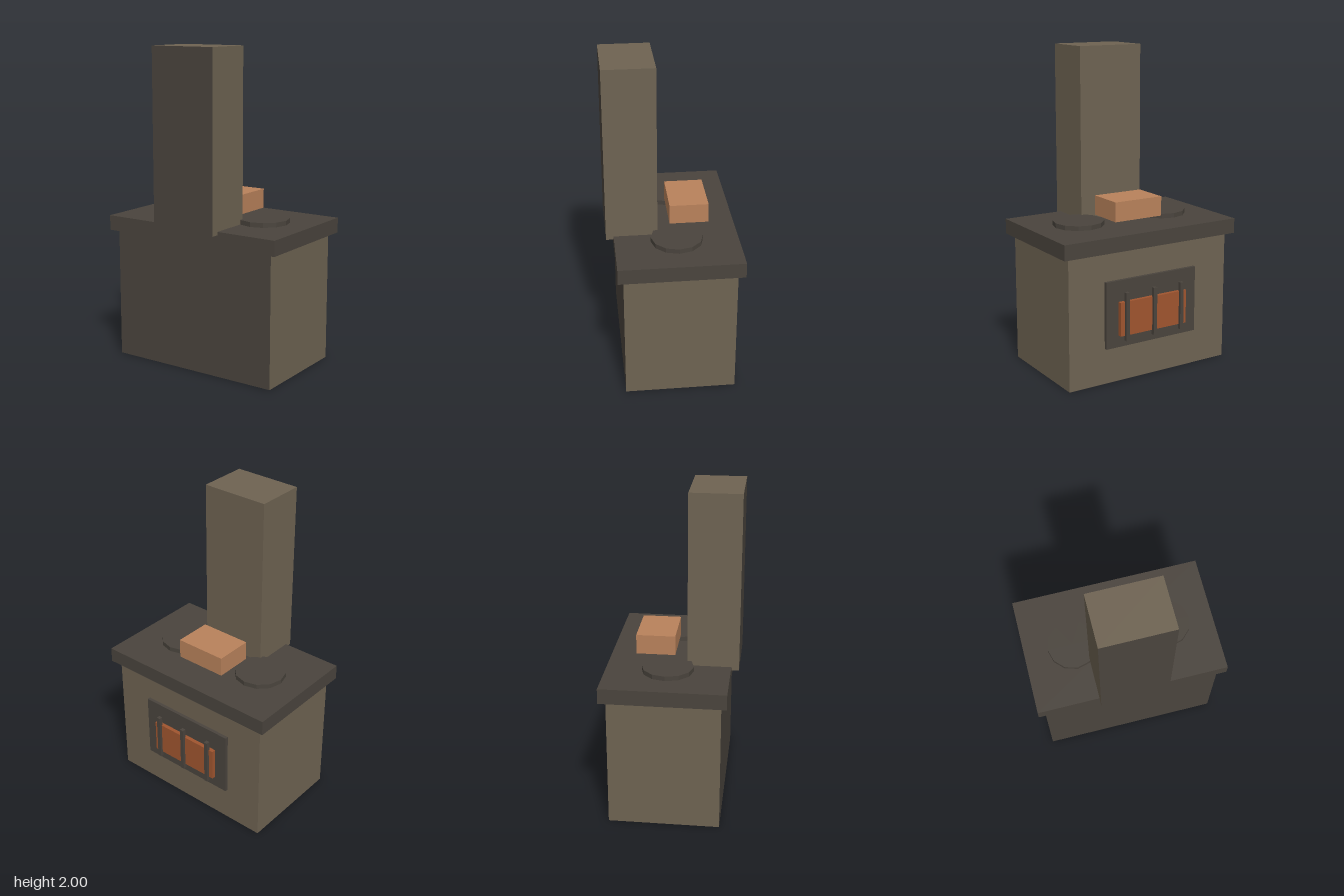
import * as THREE from 'three';

const mat = (name, color) => {
  const m = new THREE.MeshStandardMaterial({ color });
  m.name = name;
  return m;
};

export function createModel() {
  const group = new THREE.Group();
  const stone = mat('brown stone', 0x6e6352);
  const iron = mat('dark iron', 0x4a443d);
  const clay = mat('light clay', 0xb9825b);
  const ember = mat('ember', 0xa0552f);

  // Box given by its extents along each axis
  const box = (name, material, [x0, x1], [y0, y1], [z0, z1]) => {
    const mesh = new THREE.Mesh(new THREE.BoxGeometry(x1 - x0, y1 - y0, z1 - z0), material);
    mesh.position.set((x0 + x1) / 2, (y0 + y1) / 2, (z0 + z1) / 2);
    mesh.name = name;
    group.add(mesh);
  };

  // Stone masses with a dark front and underside (+x, -x, +y, -y, +z, -z)
  const sooty = [stone, stone, stone, iron, iron, stone];
  box('body', sooty, [-0.57, 0.57], [0, 0.826], [-0.352, 0.333]);
  box('chimney', sooty, [-0.219, 0.219], [0.9, 2], [0.098, 0.415]);

  // Cooking top
  box('topSlab', iron, [-0.615, 0.615], [0.826, 0.921], [-0.391, 0.368]);

  // Twelve-sided hot plates
  for (const side of [-1, 1]) {
    const plate = new THREE.Mesh(new THREE.CylinderGeometry(0.159, 0.159, 0.03, 12), iron);
    plate.material = iron;
    plate.geometry = plate.geometry.toNonIndexed();
    plate.geometry.computeVertexNormals();
    plate.position.set(side * 0.304, 0.935, -0.012);
    plate.name = side > 0 ? 'leftHotPlate' : 'rightHotPlate';
    group.add(plate);
  }

  // Block hovering over the cooking top
  box('clayBlock', clay, [-0.167, 0.167], [0.962, 1.085], [-0.224, 0.018]);

  // Firebox door, glowing opening and grate bars
  box('fireDoor', iron, [-0.325, 0.325], [0.226, 0.645], [-0.373, -0.352]);
  box('fireGlow', ember, [-0.24, 0.24], [0.3, 0.513], [-0.398, -0.373]);
  for (const x of [-0.198, 0, 0.198])
    box('grateBar', iron, [x - 0.012, x + 0.012], [0.27, 0.573], [-0.415, -0.391]);

  return group;
}
